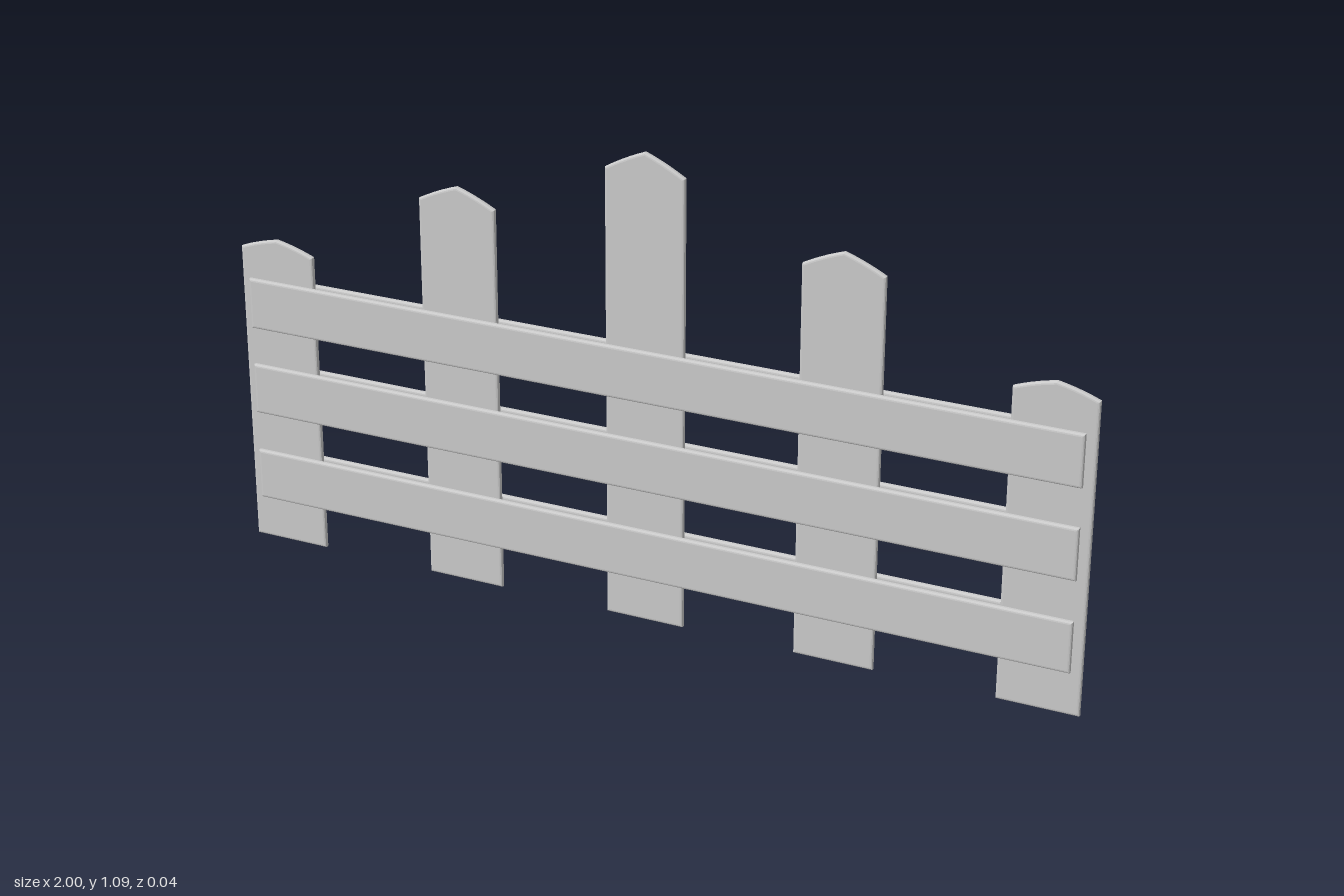
import * as THREE from 'three';

const material = new THREE.MeshStandardMaterial({ color: 0xcccccc });

// Flat board cut from an outline, centred on z = 0, with softened edges kept inside the outline
function board(shape, thickness, bevel, name) {
  const bevelThickness = thickness * 0.3;
  const depth = thickness - 2 * bevelThickness;
  const geometry = new THREE.ExtrudeGeometry(shape, {
    depth, bevelEnabled: true, bevelThickness, bevelSize: bevel,
    bevelOffset: -bevel, bevelSegments: 3, curveSegments: 5,
  });
  geometry.translate(0, 0, -depth / 2);
  const mesh = new THREE.Mesh(geometry, material);
  mesh.name = name;
  return mesh;
}

// Upright with a gently bowed, pointed top
function picketShape(halfWidth, shoulder, peak) {
  const s = new THREE.Shape();
  const mid = (shoulder + peak) / 2 + 0.005;
  s.moveTo(-halfWidth, 0);
  s.lineTo(halfWidth, 0);
  s.lineTo(halfWidth, shoulder);
  s.quadraticCurveTo(halfWidth * 0.5, mid, 0, peak);
  s.quadraticCurveTo(-halfWidth * 0.5, mid, -halfWidth, shoulder);
  s.closePath();
  return s;
}

function railShape(halfLength, halfHeight) {
  const s = new THREE.Shape();
  s.moveTo(-halfLength, -halfHeight);
  s.lineTo(halfLength, -halfHeight);
  s.lineTo(halfLength, halfHeight);
  s.lineTo(-halfLength, halfHeight);
  s.closePath();
  return s;
}

export function createModel() {
  const fence = new THREE.Group();
  fence.name = 'picketFence';

  // Five pickets, rising towards the middle: [x, shoulder height, peak height]
  const pickets = [
    [-0.908, 0.72, 0.747], [-0.447, 0.907, 0.946], [0, 1.047, 1.092],
    [0.447, 0.907, 0.946], [0.908, 0.72, 0.747],
  ];
  pickets.forEach(([x, shoulder, peak], i) => {
    const picket = board(picketShape(0.092, shoulder, peak), 0.014, 0.006, `picket${i + 1}`);
    picket.position.x = x;
    fence.add(picket);
  });

  // Three rails on the front and three on the back
  for (const side of [1, -1]) {
    [0.164, 0.379, 0.589].forEach((y, i) => {
      const rail = board(railShape(0.977, 0.06), 0.014, 0.006, `${side > 0 ? 'front' : 'back'}Rail${i + 1}`);
      rail.position.set(0, y, side * 0.013);
      fence.add(rail);
    });
  }
  return fence;
}
